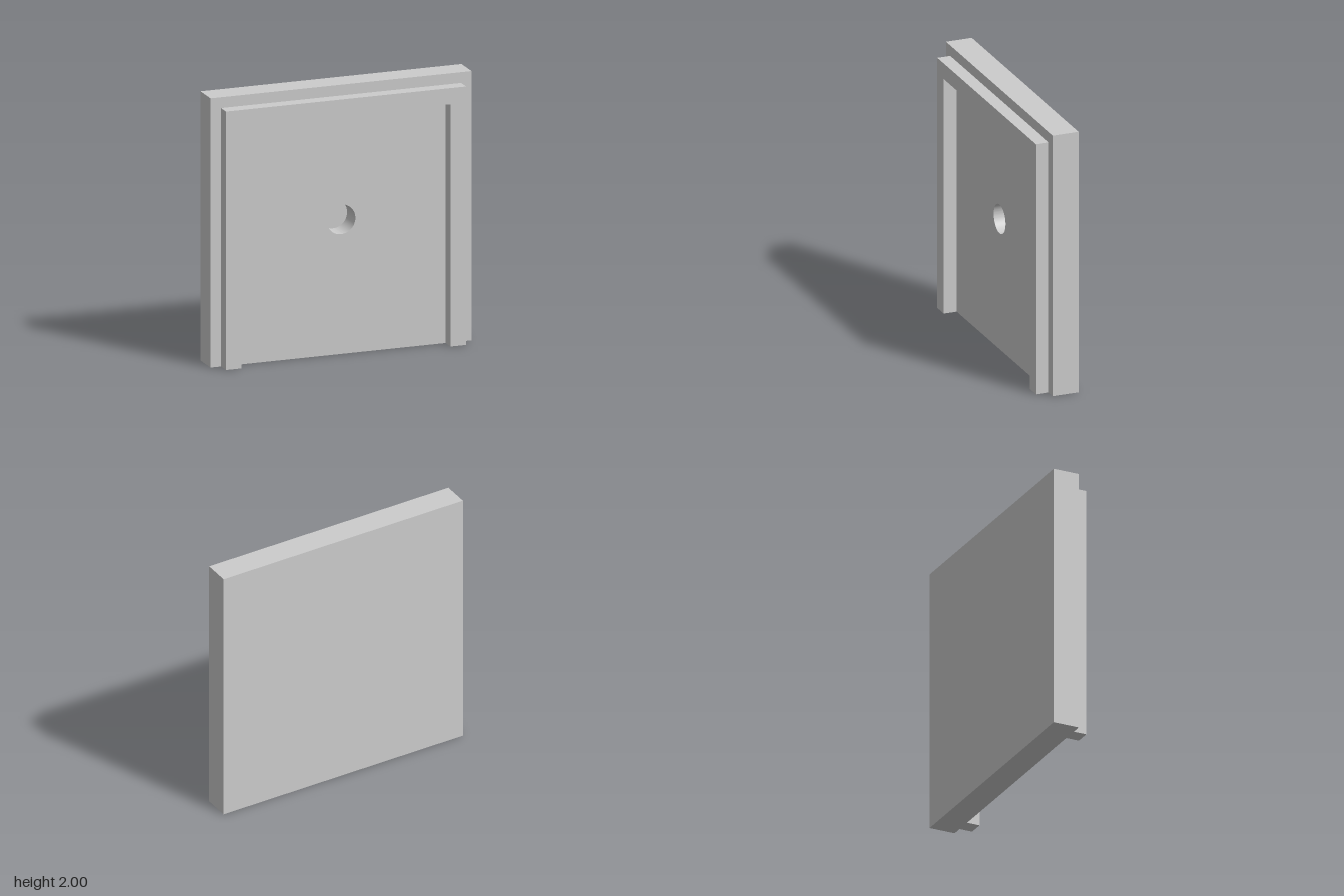
import * as THREE from 'three';
import { toCreasedNormals } from 'three/addons/utils/BufferGeometryUtils.js';

const material = new THREE.MeshStandardMaterial({ color: 0xcccccc });

const BACK = -0.15;        // rear face of the slab
const FACE = 0.05;         // front face of the slab
const RIM_FRONT = 0.15;    // front face of the raised rim
const HOLE_FLOOR = -0.115; // bottom of the blind hole

function polygon(points) {
  return new THREE.Shape(points.map(([x, y]) => new THREE.Vector2(x, y)));
}

// Extrudes a front-facing outline between two depths
function layer(name, shape, z0, z1) {
  const geometry = new THREE.ExtrudeGeometry(shape, {
    depth: z1 - z0, bevelEnabled: false, curveSegments: 48,
  });
  geometry.translate(0, 0, z0);
  const mesh = new THREE.Mesh(toCreasedNormals(geometry, Math.PI / 6), material);
  mesh.name = name;
  return mesh;
}

export function createModel() {
  const group = new THREE.Group();
  group.name = 'panel';

  // Slab: a solid back layer closes the hole in the front layer
  const square = [[-1, 0], [1, 0], [1, 2], [-1, 2]];
  const drilled = polygon(square);
  drilled.holes.push(new THREE.Path().absarc(0, 1, 0.11, 0, Math.PI * 2, true));
  group.add(layer('slabBack', polygon(square), BACK, HOLE_FLOOR));
  group.add(layer('slabFront', drilled, HOLE_FLOOR, FACE));

  // Raised rim along both sides and the top, open at the bottom
  const rim = polygon([
    [-0.92, 0], [-0.8, 0], [-0.8, 1.8], [0.8, 1.8],
    [0.8, 0], [0.92, 0], [0.92, 1.92], [-0.92, 1.92],
  ]);
  group.add(layer('raisedRim', rim, FACE, RIM_FRONT));

  return group;
}
